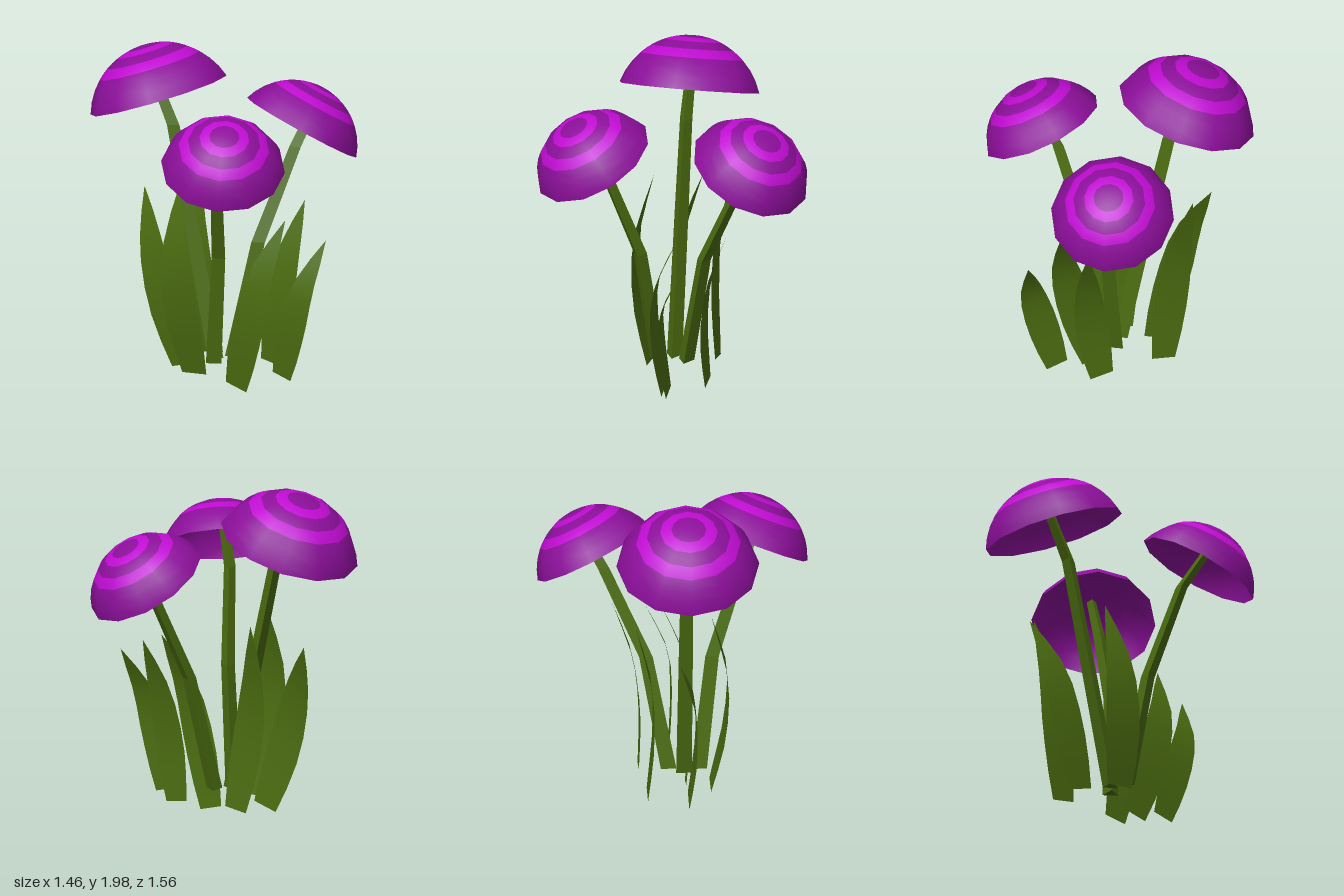
import * as THREE from 'three';

const purple = new THREE.MeshStandardMaterial({ color: 0x8c0f9a, side: THREE.DoubleSide });
purple.name = 'cap purple';
const magenta = new THREE.MeshStandardMaterial({ color: 0xc00cd2, side: THREE.DoubleSide });
magenta.name = 'ring magenta';
const green = new THREE.MeshStandardMaterial({ color: 0x4b6c10, side: THREE.DoubleSide });
green.name = 'plant green';

function buildGeometry(positions, index, flat) {
  let geo = new THREE.BufferGeometry();
  geo.setAttribute('position', new THREE.Float32BufferAttribute(positions, 3));
  geo.setIndex(index);
  if (flat) geo = geo.toNonIndexed();
  geo.computeVertexNormals();
  return geo;
}

function addMesh(parent, name, geo, material) {
  const mesh = new THREE.Mesh(geo, material);
  mesh.name = name;
  parent.add(mesh);
  return mesh;
}

// Hollow dome cut from a 12-sided sphere, banded by latitude; its origin is the rim centre
function makeCap(rim, radius, axis) {
  const cap = new THREE.Group();
  cap.name = 'cap';
  const k = radius / 0.41;
  const R = 0.43 * k;
  const edges = [0, 0.1, 0.165, 0.24, 0.3, 0.41].map((r) => Math.asin(r / 0.43));
  const drop = -R * Math.cos(edges[5]);
  for (let i = 0; i < 5; i++) {
    const rows = i === 4 ? 3 : 1;
    const geo = new THREE.SphereGeometry(R, 12, rows, 0, Math.PI * 2, edges[i], edges[i + 1] - edges[i]);
    geo.translate(0, drop, 0);
    addMesh(cap, i % 2 ? 'capRing' : 'capBand', geo, i % 2 ? magenta : purple);
  }
  // Plain lining under the painted rings
  const lining = new THREE.SphereGeometry(R * 0.985, 12, 5, 0, Math.PI * 2, 0, edges[5]);
  lining.translate(0, drop, 0);
  addMesh(cap, 'capLining', lining, purple);
  cap.position.copy(rim);
  cap.quaternion.setFromUnitVectors(new THREE.Vector3(0, 1, 0), axis);
  return cap;
}

// Tapered three-sided stem through a few path points
function makeStem(path) {
  const positions = [];
  const index = [0, 1, 2];
  path.forEach((p, i) => {
    const r = 0.052 - 0.02 * (i / (path.length - 1));
    for (let s = 0; s < 3; s++) {
      const a = (s * Math.PI * 2) / 3;
      positions.push(p.x + r * Math.cos(a), p.y, p.z - r * Math.sin(a));
      if (i > 0) {
        const a0 = (i - 1) * 3 + s;
        const b0 = (i - 1) * 3 + ((s + 1) % 3);
        index.push(a0, b0, b0 + 3, a0, b0 + 3, a0 + 3);
      }
    }
  });
  return buildGeometry(positions, index, true);
}

// Thin blade: widens from the base, then narrows to a point
function makeLeaf(points, baseWidth) {
  const curve = new THREE.CatmullRomCurve3(points.map((p) => new THREE.Vector3(...p)));
  const steps = 7;
  const positions = [];
  const index = [];
  for (let i = 0; i <= steps; i++) {
    const t = i / steps;
    const p = curve.getPoint(t);
    const d = curve.getTangent(t);
    const side = new THREE.Vector3(d.y, -d.x, 0).normalize();
    const half = (baseWidth / 2) * (1 - t) * (1 + 3.3 * t);
    for (const s of [-1, 1]) positions.push(p.x + s * half * side.x, p.y + s * half * side.y, p.z);
    if (i < steps) {
      const a = i * 2;
      index.push(a, a + 1, a + 3);
      if (i < steps - 1) index.push(a, a + 3, a + 2);
      else index[index.length - 1] = a + 2;
    }
  }
  return buildGeometry(positions, index, false);
}

const mushrooms = [
  { name: 'tallMushroom', rim: [-0.355, 1.685, 0.05], radius: 0.412, axis: [-0.352, 0.936, 0],
    stem: [[0.05, 0.18, 0.05], [-0.13, 1.0, 0.05], [-0.25, 1.53, 0.05], [-0.335, 1.7, 0.05]] },
  { name: 'frontMushroom', rim: [0.382, 1.49, 0.45], radius: 0.358, axis: [0.31, 0.87, 0.38],
    stem: [[0.1, 0.18, 0.14], [0.19, 0.85, 0.22], [0.3, 1.38, 0.4]] },
  { name: 'backMushroom', rim: [0.292, 1.475, -0.46], radius: 0.358, axis: [0.27, 0.85, -0.45],
    stem: [[0.11, 0.18, -0.035], [0.2, 0.85, -0.16], [0.29, 1.38, -0.4]] },
];

// Blade centre lines from base to tip, then base width
const leaves = [
  [[[-0.175, 0.095, 0.065], [-0.285, 0.45, 0.1], [-0.38, 0.8, 0.09], [-0.49, 1.1, 0]], 0.155],
  [[[-0.13, 0.12, -0.17], [-0.19, 0.5, -0.14], [-0.235, 0.85, -0.15], [-0.285, 1.25, -0.245]], 0.145],
  [[[0.003, 0.11, 0.2], [-0.03, 0.48, 0.28], [-0.065, 0.85, 0.295], [-0.1, 1.23, 0.2]], 0.17],
  [[[0.26, 0.12, -0.2], [0.315, 0.45, -0.19], [0.36, 0.78, -0.23], [0.4, 1.09, -0.34]], 0.14],
  [[[0.205, 0.03, 0.07], [0.3, 0.38, 0.1], [0.385, 0.73, 0.08], [0.46, 1.05, -0.06]], 0.15],
  [[[0.465, 0.12, -0.015], [0.545, 0.41, 0.005], [0.62, 0.68, -0.01], [0.69, 0.95, -0.14]], 0.13],
];

export function createModel() {
  const model = new THREE.Group();
  model.name = 'mushroomCluster';

  for (const m of mushrooms) {
    const group = new THREE.Group();
    group.name = m.name;
    const rim = new THREE.Vector3(...m.rim);
    const axis = new THREE.Vector3(...m.axis).normalize();
    group.add(makeCap(rim, m.radius, axis));
    // The stem runs on into the hollow of the cap
    const path = m.stem.map((p) => new THREE.Vector3(...p));
    path.push(rim.clone().addScaledVector(axis, m.radius * 0.62));
    addMesh(group, 'stem', makeStem(path), green);
    model.add(group);
  }

  for (const [points, width] of leaves) addMesh(model, 'leaf', makeLeaf(points, width), green);

  return model;
}
